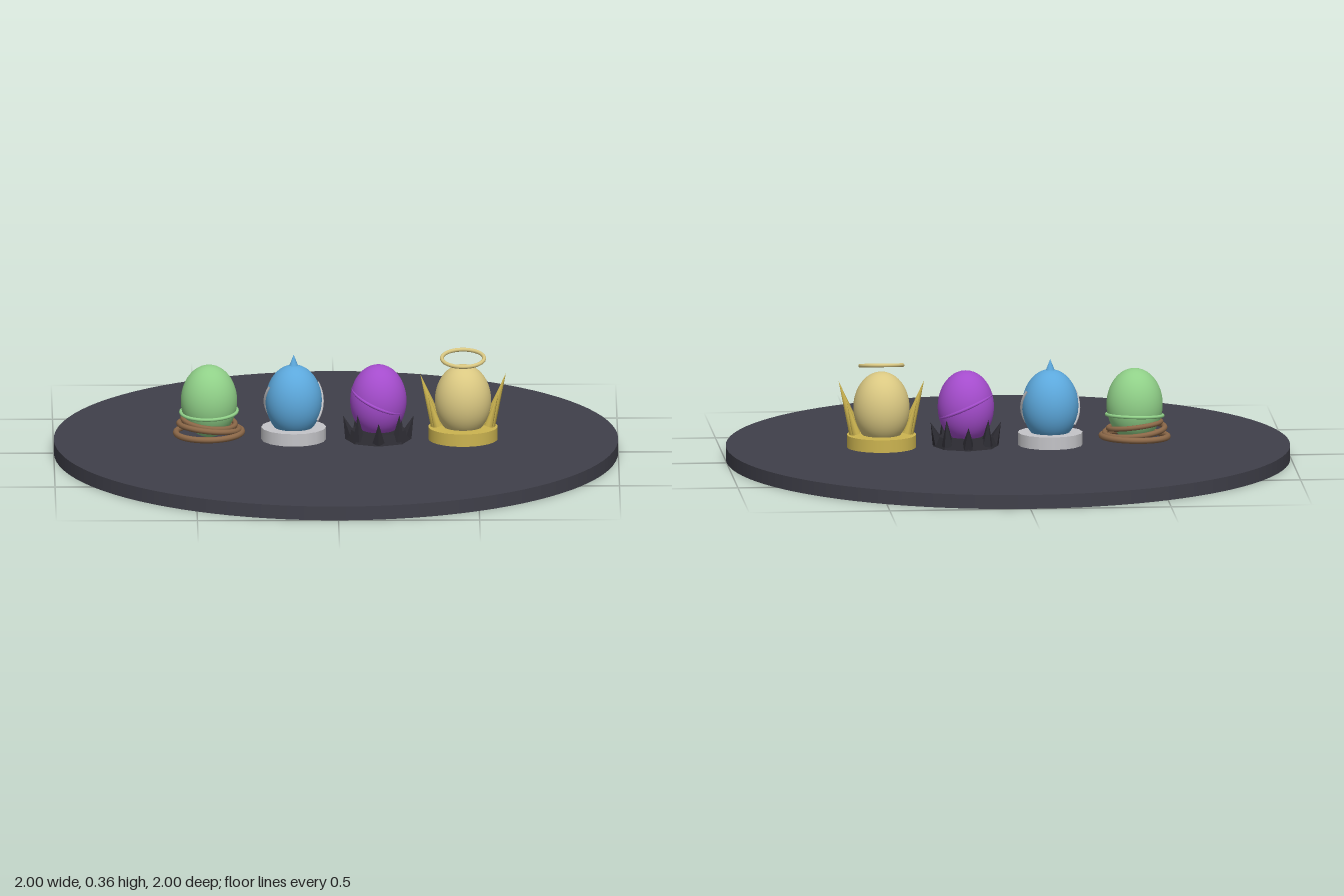
import * as THREE from 'three';

const mat = (name, color, flatShading = false) => {
  const m = new THREE.MeshStandardMaterial({ color, flatShading });
  m.name = name;
  return m;
};

export function createModel() {
  const M = {
    slate: mat('slate', 0x40404a), green: mat('leaf green', 0x90d088),
    brown: mat('nest brown', 0x8c6848), blue: mat('sky blue', 0x5ca8dc),
    white: mat('pale stone', 0xc4c4c8), purple: mat('violet', 0xa44ccc),
    dark: mat('dark crystal', 0x2c2b32, true), cream: mat('pale gold', 0xdac882),
    gold: mat('gold', 0xccb450),
  };
  const model = new THREE.Group();

  const add = (parent, name, geo, material, x = 0, y = 0, z = 0) => {
    const mesh = new THREE.Mesh(geo, material);
    mesh.name = name;
    mesh.position.set(x, y, z);
    parent.add(mesh);
    return mesh;
  };
  // Horizontal ring with optional tilt
  const ring = (parent, name, R, tube, material, y, tiltX = 0, tiltZ = 0) => {
    const geo = new THREE.TorusGeometry(R, tube, 10, 48).rotateX(Math.PI / 2);
    const mesh = add(parent, name, geo, material, 0, y);
    mesh.rotation.set(tiltX, 0, tiltZ);
    return mesh;
  };
  // Cone running from a base point to a tip
  const spike = (parent, name, from, to, r, sides, material) => {
    const a = new THREE.Vector3(...from), b = new THREE.Vector3(...to);
    const dir = b.clone().sub(a);
    const mesh = add(parent, name, new THREE.ConeGeometry(r, dir.length(), sides), material);
    mesh.position.copy(a).addScaledVector(dir, 0.5);
    mesh.quaternion.setFromUnitVectors(new THREE.Vector3(0, 1, 0), dir.normalize());
    return mesh;
  };
  const eggStand = (name, x, material) => {
    const g = new THREE.Group();
    g.name = name;
    g.position.x = x;
    model.add(g);
    add(g, 'egg', new THREE.SphereGeometry(0.1, 40, 28).scale(1, 1.3, 1), material, 0, 0.19);
    return g;
  };

  // Display disc
  add(model, 'disc', new THREE.CylinderGeometry(1, 1, 0.05, 96), M.slate, 0, 0.025);

  // Green egg in a nest of loose coils
  const nest = eggStand('nestEgg', -0.45, M.green);
  ring(nest, 'eggBand', 0.1, 0.006, M.green, 0.152, 0.08, 0.03);
  ring(nest, 'nestCoilLow', 0.117, 0.011, M.brown, 0.077, 0.02, 0.02);
  ring(nest, 'nestCoilMid', 0.107, 0.01, M.brown, 0.098, -0.05, -0.1);
  ring(nest, 'nestCoilTop', 0.094, 0.009, M.brown, 0.117, 0.06, -0.12);

  // Blue egg on a stone plinth, with a crest and side arcs
  const crest = eggStand('crestEgg', -0.15, M.blue);
  add(crest, 'plinth', new THREE.CylinderGeometry(0.115, 0.115, 0.045, 16), M.white, 0, 0.0725);
  add(crest, 'crest', new THREE.ConeGeometry(0.022, 0.055, 12), M.blue, 0, 0.33);
  for (const s of [-1, 1]) {
    const pts = [];
    for (let i = 0; i <= 8; i++) {
      const y = -0.065 + i * 0.0155;
      const r = 0.102 * Math.sqrt(1 - (y / 0.13) ** 2);
      const a = -0.35 + i * 0.09;
      pts.push(new THREE.Vector3(s * r * Math.cos(a), y + 0.19, -s * r * Math.sin(a)));
    }
    add(crest, 'sideArc', new THREE.TubeGeometry(new THREE.CatmullRomCurve3(pts), 24, 0.005, 6), M.white);
  }

  // Violet egg among dark crystals
  const crystal = eggStand('crystalEgg', 0.15, M.purple);
  ring(crystal, 'eggBand', 0.098, 0.006, M.purple, 0.192, 0.1, -0.42);
  add(crystal, 'crystalBase', new THREE.CylinderGeometry(0.1, 0.118, 0.035, 8), M.dark, 0, 0.0675);
  for (let i = 0; i < 8; i++) {
    const a = (i / 8) * Math.PI * 2, c = Math.cos(a), s = Math.sin(a);
    const h = 0.135 + 0.02 * (i % 2), out = 0.105 + 0.02 * ((i + 1) % 2);
    spike(crystal, 'shard', [c * 0.097, 0.06, s * 0.097], [c * out, h, s * out], 0.023, 5, M.dark);
  }

  // Golden egg with feathered wings and a halo
  const winged = eggStand('wingedEgg', 0.45, M.cream);
  add(winged, 'pedestal', new THREE.CylinderGeometry(0.123, 0.123, 0.045, 32), M.gold, 0, 0.0725);
  for (const s of [-1, 1]) {
    spike(winged, 'wingFeather', [s * 0.09, 0.1, 0], [s * 0.152, 0.288, 0], 0.025, 8, M.gold);
    for (const z of [-1, 1])
      spike(winged, 'sideFeather', [s * 0.09, 0.1, z * 0.016], [s * 0.125, 0.22, z * 0.018], 0.016, 8, M.gold);
  }
  ring(winged, 'halo', 0.075, 0.007, M.cream, 0.343, 0.18);

  return model;
}
